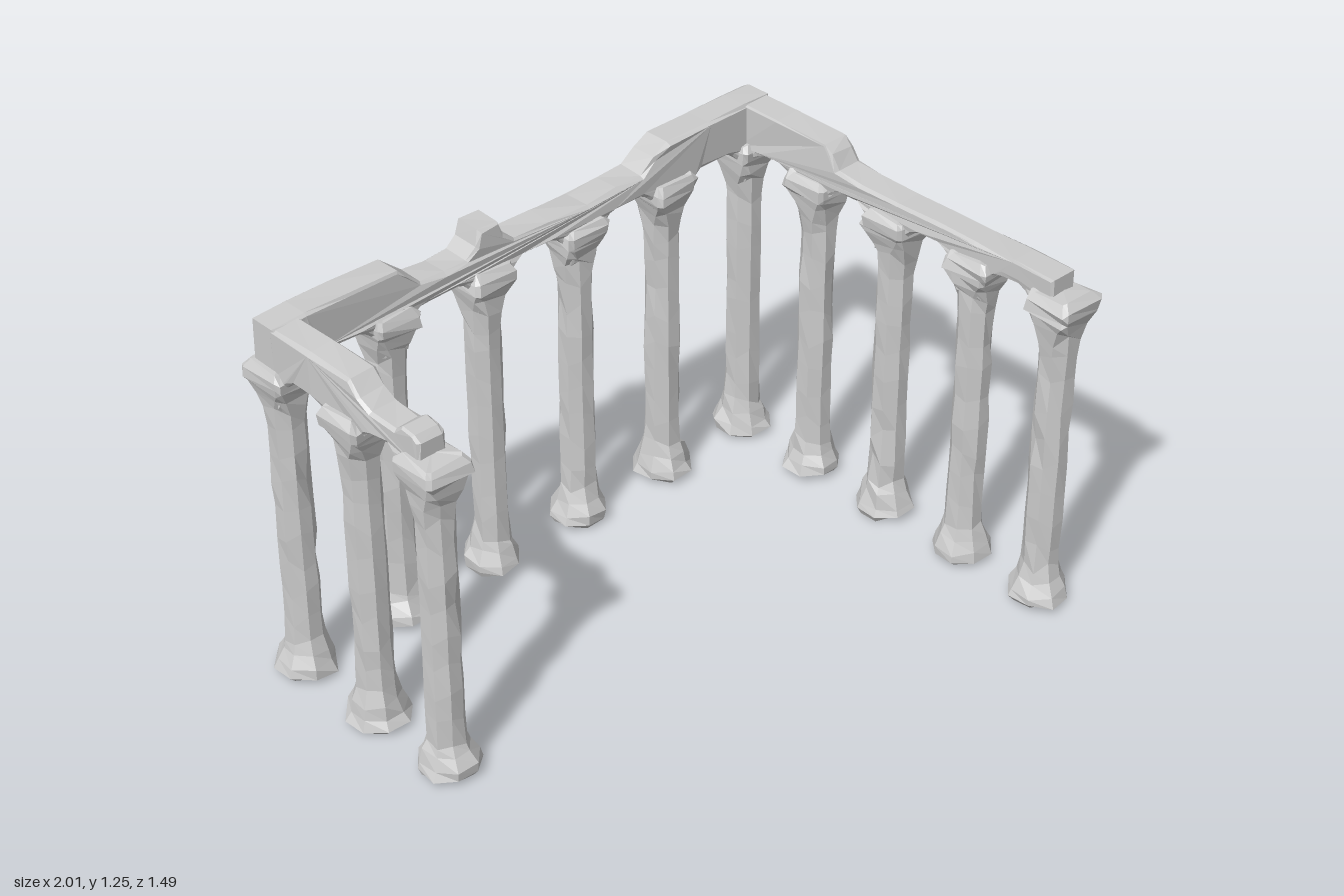
import * as THREE from 'three';

const stone = new THREE.MeshStandardMaterial({ color: 0xcccccc, flatShading: true });

// Repeatable value in -1..1 from a position, so welded corners stay together
function hash(x, y, z, k) {
  const q = (v) => Math.round(v * 1000);
  const s = Math.sin(q(x) * 12.9898 + q(y) * 78.233 + q(z) * 37.719 + k * 4.581) * 43758.5453;
  return (s - Math.floor(s)) * 2 - 1;
}

// Weather a geometry: rule(v, seed) moves each vertex
function reshape(geo, rule) {
  const p = geo.attributes.position;
  const v = new THREE.Vector3();
  for (let i = 0; i < p.count; i++) {
    v.fromBufferAttribute(p, i);
    rule(v);
    p.setXYZ(i, v.x, v.y, v.z);
  }
  geo.computeVertexNormals();
  return geo;
}

// Column: eight-sided worn shaft, flared foot, capital widening to a square slab
function makeColumn(x, z, seed) {
  const profile = [
    [0, 0.03], [0.075, 0.015], [0.096, 0.03], [0.09, 0.06], [0.072, 0.1], [0.061, 0.14],
    [0.058, 0.22], [0.058, 0.32], [0.057, 0.42], [0.059, 0.52], [0.057, 0.62], [0.058, 0.72],
    [0.057, 0.82], [0.058, 0.91], [0.064, 0.97], [0.07, 1.01], [0.079, 1.045], [0.088, 1.06],
    [0.087, 1.09], [0.07, 1.112], [0, 1.115],
  ].map(([r, y]) => new THREE.Vector2(r, y));
  const geo = new THREE.LatheGeometry(profile, 8, Math.PI / 8);
  reshape(geo, (v) => {
    if (Math.hypot(v.x, v.z) < 0.001) return;
    const { x: a, y, z: b } = v;
    // Push the corners out to a square in the capital
    const sq = THREE.MathUtils.smoothstep(y, 0.95, 1.06) * 0.75;
    if (Math.abs(a) > Math.abs(b)) v.z += (Math.sign(b) * Math.abs(a) - b) * sq;
    else v.x += (Math.sign(a) * Math.abs(b) - a) * sq;
    // Worn, chipped surface, roughest at the two ends
    const ends = y < 0.12 || y > 0.98;
    const amp = ends ? 0.1 : 0.05;
    const chip = !ends && hash(a, y, b, seed + 9) > 0.86 ? 0.86 : 1;
    const f = (1 + amp * hash(a, y, b, seed)) * chip;
    v.x *= f;
    v.z *= f;
    v.y += (ends ? 0.008 : 0.025) * hash(a, y, b, seed + 3);
  });
  const mesh = new THREE.Mesh(geo, stone);
  mesh.name = 'column';
  mesh.position.set(x, 0, z);
  return mesh;
}

// Beam: top outline given left to right, underside arched between the supports
function makeBeam(name, top, supports, width, seed) {
  const haunch = [[0.046, 0.975], [0.056, 1.02], [0.075, 1.065], [0.1, 1.09], [0.125, 1.102]];
  const start = top[0][0], end = top[top.length - 1][0];
  const under = [[start, 1.09]];
  supports.forEach((s, i) => {
    if (i > 0) for (const [d, y] of [...haunch].reverse()) under.push([s - d, y]);
    else if (s - 0.046 > start) under.push([s - 0.046, 1.07]);
    if (i < supports.length - 1) for (const [d, y] of haunch) under.push([s + d, y]);
    else if (s + 0.046 < end) under.push([s + 0.046, 1.07]);
  });
  under.push([end, 1.09]);
  const outline = [...under, ...[...top].reverse()].map(([s, y]) => new THREE.Vector2(s, y));
  const bevel = 0.009;
  const geo = new THREE.ExtrudeGeometry(new THREE.Shape(outline), {
    depth: width - 2 * bevel, bevelEnabled: true, bevelSegments: 1,
    bevelSize: bevel, bevelThickness: bevel, bevelOffset: -bevel,
  });
  geo.translate(0, 0, bevel - width / 2);
  reshape(geo, (v) => {
    const { x, y, z } = v;
    v.y += 0.004 * hash(x, y, z, seed);
    v.z += 0.005 * hash(x, y, z, seed + 1);
  });
  const mesh = new THREE.Mesh(geo, stone);
  mesh.name = name;
  return mesh;
}

export function createModel() {
  const model = new THREE.Group();
  model.name = 'ruinedColonnade';
  const tilt = 0.011;
  const backZ = (x) => -0.64 + x * tilt;

  // Columns: a full back row, a long arm at +x and a short arm at -x
  const columns = new THREE.Group();
  columns.name = 'columns';
  const rowX = [-0.91, -0.545, -0.182, 0.182, 0.545, 0.905];
  const longZ = [-0.31, 0.01, 0.335, 0.645];
  const shortZ = [-0.32, -0.01];
  let seed = 1;
  rowX.forEach((x) => columns.add(makeColumn(x, backZ(x), seed++)));
  longZ.forEach((z) => columns.add(makeColumn(0.905, z, seed++)));
  shortZ.forEach((z) => columns.add(makeColumn(-0.912, z, seed++)));
  model.add(columns);

  // Back beam: high at both corners, one surviving block over the third column
  const back = makeBeam('backBeam', [
    [-0.965, 1.245], [-0.85, 1.25], [-0.7, 1.248], [-0.52, 1.245], [-0.49, 1.22], [-0.44, 1.175],
    [-0.35, 1.168], [-0.27, 1.172], [-0.235, 1.205], [-0.22, 1.252], [-0.145, 1.252], [-0.13, 1.205],
    [-0.09, 1.172], [0.05, 1.17], [0.2, 1.165], [0.32, 1.17], [0.42, 1.175], [0.47, 1.215],
    [0.53, 1.248], [0.7, 1.248], [0.85, 1.25], [0.955, 1.248],
  ], rowX, 0.105, 20);
  back.position.z = -0.64;
  back.rotation.y = -tilt;
  model.add(back);

  // Side beams are drawn along z, then turned to run forward
  const long = makeBeam('longSideBeam', [
    [-0.62, 1.247], [-0.45, 1.249], [-0.25, 1.243], [-0.22, 1.22], [-0.195, 1.178], [-0.1, 1.168],
    [0.05, 1.165], [0.2, 1.168], [0.35, 1.17], [0.5, 1.17], [0.65, 1.165],
  ], [-0.635, ...longZ], 0.1, 30);
  long.position.x = 0.903;
  long.rotation.y = -Math.PI / 2;
  model.add(long);

  const short = makeBeam('shortSideBeam', [
    [-0.62, 1.245], [-0.45, 1.246], [-0.28, 1.24], [-0.24, 1.2], [-0.2, 1.172], [-0.1, 1.168],
    [-0.07, 1.19], [-0.02, 1.185],  [0.0, 1.165],
  ], [-0.65, ...shortZ], 0.1, 40);
  short.position.x = -0.915;
  short.rotation.y = -Math.PI / 2;
  model.add(short);

  return model;
}
